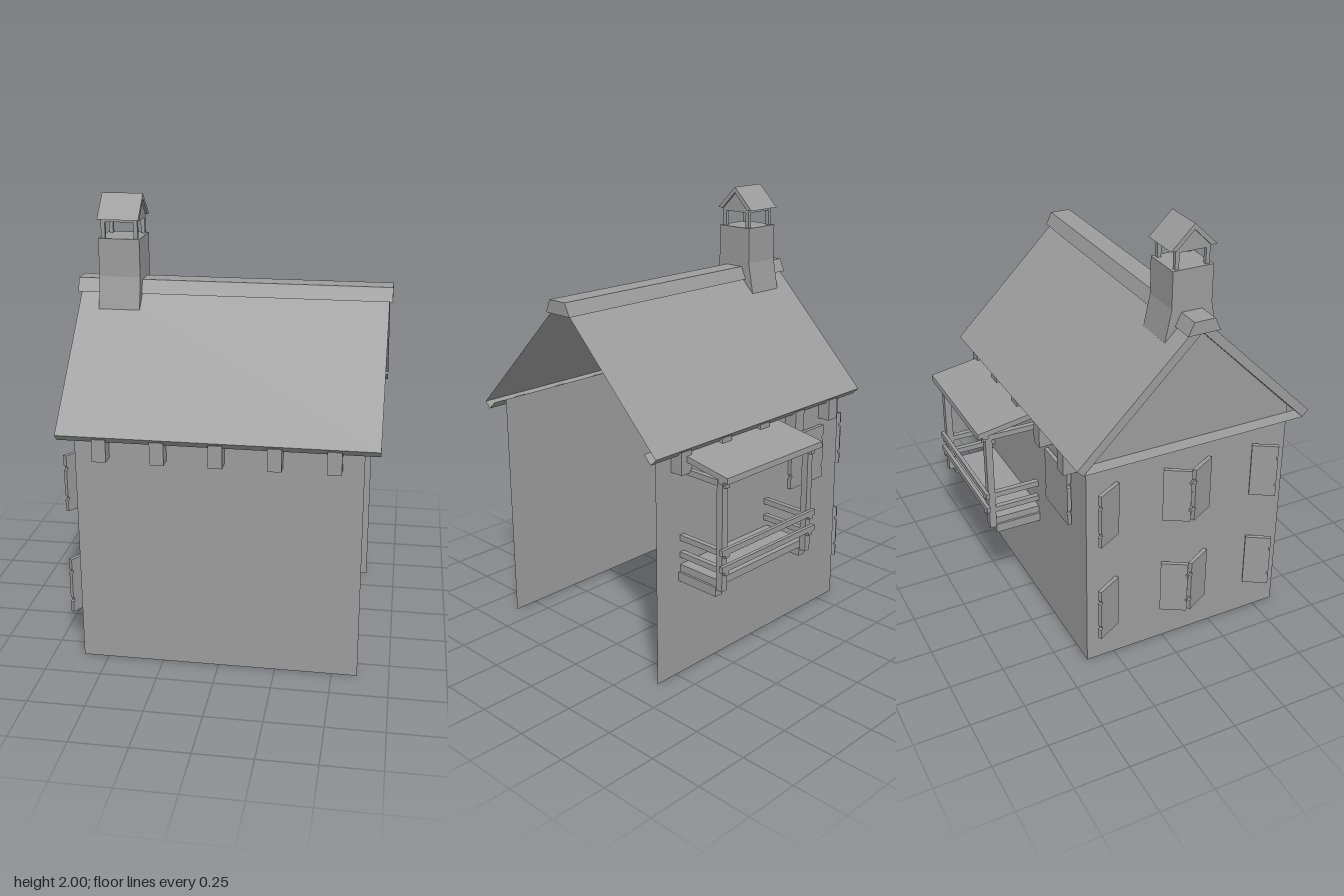
import * as THREE from 'three';

const mat = new THREE.MeshStandardMaterial({ color: 0x9c9c9c, flatShading: true, side: THREE.DoubleSide });
const RIDGE = 0.107; // z of the ridge line

function add(parent, name, geometry) {
  const mesh = new THREE.Mesh(geometry, mat);
  mesh.name = name;
  parent.add(mesh);
  return mesh;
}

// box given by its limits on each axis
function box(parent, name, [x0, x1], [y0, y1], [z0, z1]) {
  const mesh = add(parent, name, new THREE.BoxGeometry(x1 - x0, y1 - y0, z1 - z0));
  mesh.position.set((x0 + x1) / 2, (y0 + y1) / 2, (z0 + z1) / 2);
}

const shapeOf = (points) => new THREE.Shape(points.map(([a, b]) => new THREE.Vector2(a, b)));

// (z, y) outline extruded along x from x0 to x1
function prism(parent, name, points, x0, x1) {
  const g = new THREE.ExtrudeGeometry(shapeOf(points.map(([z, y]) => [-z, y])), { depth: x1 - x0, bevelEnabled: false });
  g.rotateY(Math.PI / 2);
  g.translate(x0, 0, 0);
  add(parent, name, g);
}

// flat (z, y) outline facing -x at the given x
function endPlate(parent, name, points, x) {
  const g = new THREE.ShapeGeometry(shapeOf(points));
  g.rotateY(-Math.PI / 2);
  g.translate(x, 0, 0);
  add(parent, name, g);
}

// open folded sheet: a (z, y) line, running from back to front, swept from x0 to x1
function sheet(parent, name, points, x0, x1) {
  const pos = [];
  for (let i = 0; i + 1 < points.length; i++) {
    const [[za, ya], [zb, yb]] = [points[i], points[i + 1]];
    pos.push(x0, ya, za, x0, yb, zb, x1, yb, zb, x0, ya, za, x1, yb, zb, x1, ya, za);
  }
  const g = new THREE.BufferGeometry();
  g.setAttribute('position', new THREE.Float32BufferAttribute(pos, 3));
  g.computeVertexNormals();
  add(parent, name, g);
}

function group(parent, name) {
  const g = new THREE.Group();
  g.name = name;
  parent.add(g);
  return g;
}

// mirror a half profile of (offset from ridge, y) points into a full back-to-front line
const mirrored = (half) => [
  ...half.map(([d, y]) => [RIDGE - d, y]),
  ...[...half].reverse().map(([d, y]) => [RIDGE + d, y]),
];

// shutter leaf hinged at its local x = 0, with small nicks in the free edge
function shutter(parent, name, x, y, z, vx, vz) {
  const h = 0.26, w = Math.hypot(vx, vz), n = w - 0.008;
  const pts = [[0, 0], [w, 0], [w, 0.05], [n, 0.055], [n, 0.065], [w, 0.07],
    [w, h - 0.07], [n, h - 0.065], [n, h - 0.055], [w, h - 0.05], [w, h], [0, h]];
  const g = new THREE.ExtrudeGeometry(shapeOf(pts), { depth: 0.018, bevelEnabled: false });
  g.translate(0, 0, -0.009);
  const mesh = add(parent, name, g);
  mesh.position.set(x, y, z);
  mesh.rotation.y = Math.atan2(-vz, vx);
}

export function createModel() {
  const model = new THREE.Group();
  model.name = 'house';

  // Walls: front, back and one gable; the other end is open
  const walls = group(model, 'walls');
  for (const [name, z] of [['frontWall', 0.6], ['backWall', -0.384]]) {
    const wall = add(walls, name, new THREE.PlaneGeometry(1.224, 1.08));
    wall.position.set(0, 0.54, z);
    if (z < 0) wall.rotation.y = Math.PI;
  }
  endPlate(walls, 'gableWall', [[0.6, 0], [0.6, 1.08], [RIDGE, 1.573], [-0.384, 1.08], [-0.384, 0]], -0.612);

  // Roof shell with turned-in eaves, closed at the gable end and open at the other
  const roof = group(model, 'roof');
  const eaveOut = [0.56, 1.072], eaveIn = [0.532, 1.043], apex = [0, 1.63], innerApex = [0, 1.573];
  sheet(roof, 'roofShell', mirrored([[0.493, 1.08], eaveIn, eaveOut, apex]), -0.677, 0.677);
  sheet(roof, 'gableOverhang', mirrored([innerApex, eaveIn]), -0.677, -0.612);
  for (const s of [1, -1]) {
    endPlate(roof, 'bargeboard', [apex, eaveOut, eaveIn, innerApex].map(([d, y]) => [RIDGE + s * d, y]), -0.677);
    for (let i = -2; i <= 2; i++) {
      const x = i * 0.246;
      box(roof, 'rafterEnd', [x - 0.03, x + 0.03], [0.96, 1.06], s > 0 ? [0.6, 0.66] : [-0.445, -0.384]);
    }
  }
  prism(roof, 'ridgeCap', mirrored([[0.075, 1.573], [0.048, 1.631]]), -0.69, 0.69);

  // Chimney stack, posts and small gabled cover
  const chimney = group(model, 'chimney');
  prism(chimney, 'chimneyStack', mirrored([[0.121, 1.11], [0.121, 1.51], [0.093, 1.65], [0.093, 1.815]]), -0.585, -0.403);
  for (const x of [-0.566, -0.422]) {
    for (const dz of [-0.07, 0.07]) {
      box(chimney, 'chimneyPost', [x - 0.009, x + 0.009], [1.81, 1.9], [RIDGE + dz - 0.009, RIDGE + dz + 0.009]);
    }
  }
  prism(chimney, 'chimneyCoverGable', [[RIDGE - 0.08, 1.885], [RIDGE + 0.08, 1.885],
    [RIDGE + 0.08, 1.897], [RIDGE, 1.975], [RIDGE - 0.08, 1.897]], -0.575, -0.413);
  for (const s of [1, -1]) {
    prism(chimney, 'chimneyCoverSlab', [[RIDGE, 2], [RIDGE + s * 0.105, 1.898],
      [RIDGE + s * 0.078, 1.897], [RIDGE, 1.975]], -0.585, -0.403);
  }

  // Open shutter pairs on the gable, closed pair on the back wall
  const shutters = group(model, 'shutters');
  for (const y of [0.17, 0.667]) {
    for (const [z, vz] of [[-0.24, -0.115], [-0.02, 0.105], [0.21, -0.115], [0.425, 0.1]]) {
      shutter(shutters, 'gableShutter', -0.62, y, z, -0.062, vz);
    }
  }
  for (const vx of [0.118, -0.118]) {
    shutter(shutters, 'backShutter', -0.358, 0.667, -0.398, vx, 0);
  }

  // Balcony on the back wall
  const balcony = group(model, 'balcony');
  const full = [-0.12, 0.49];
  prism(balcony, 'balconyRoof', [[-0.376, 1.049], [-0.668, 1], [-0.67, 0.974], [-0.376, 1.022]], -0.122, 0.49);
  box(balcony, 'balconyFloor', [-0.1, 0.47], [0.492, 0.525], [-0.6, -0.384]);
  box(balcony, 'eaveBeam', full, [0.965, 0.988], [-0.645, -0.62]);
  for (const y of [0.65, 0.575]) {
    box(balcony, 'frontRail', full, [y, y + 0.026], [-0.645, -0.628]);
  }
  for (const x of [-0.09, 0.46]) {
    box(balcony, 'balconyPost', [x - 0.016, x + 0.016], [0.48, 0.99], [-0.63, -0.598]);
    box(balcony, 'floorJoist', [x - 0.02, x + 0.02], [0.45, 0.492], [-0.6, -0.384]);
    for (const y of [0.945, 0.637, 0.558]) {
      box(balcony, 'sideRail', [x - 0.012, x + 0.012], [y, y + 0.026], [-0.645, -0.384]);
    }
  }
  return model;
}
